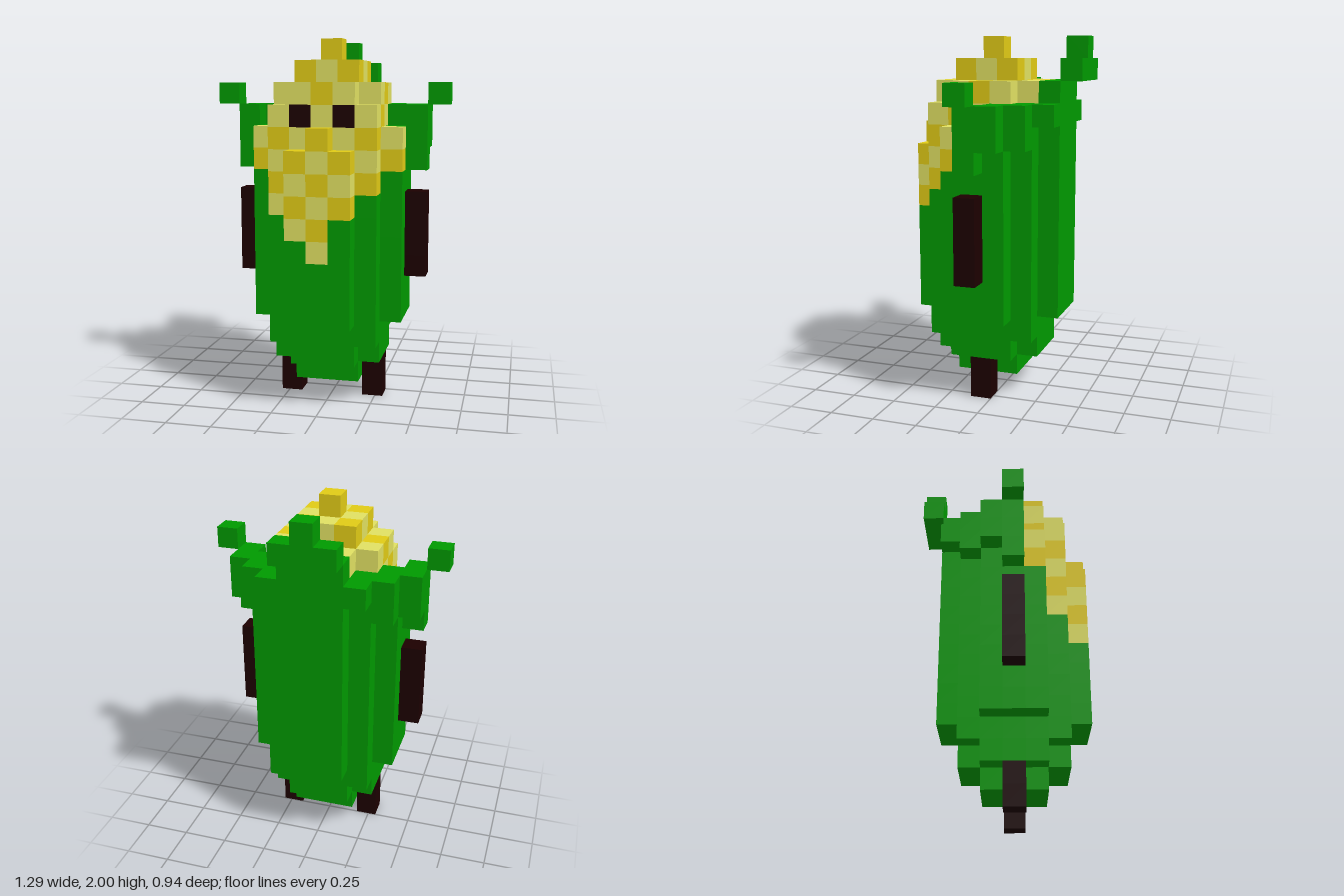
import * as THREE from 'three';

const U = 2 / 17; // edge of one cube

const mat = (name, color) => {
  const m = new THREE.MeshStandardMaterial({ color });
  m.name = name;
  return m;
};

// Cube grid: cell "x,y,z" -> part name
function createGrid() {
  const cells = new Map();
  const set = (part, x, y, z) => cells.set(`${x},${y},${z}`, part);
  const fill = (part, [x0, x1], [y0, y1], [z0, z1]) => {
    for (let x = x0; x <= x1; x++)
      for (let y = y0; y <= y1; y++)
        for (let z = z0; z <= z1; z++) set(part, x, y, z);
  };
  // Same block on the left and the right side
  const pair = (part, [x0, x1], ys, zs) => {
    fill(part, [x0, x1], ys, zs);
    fill(part, [-x1, -x0], ys, zs);
  };
  const kernel = (dark, x, y, z) => set(dark ? 'darkKernels' : 'lightKernels', x, y, z);
  const even = (n) => n % 2 === 0;

  // Husk body, widening from the bottom
  fill('husk', [-1, 1], [1, 13], [-1, 1]);
  fill('husk', [-1, 1], [2, 13], [-2, 2]);
  pair('husk', [2, 2], [2, 11], [-1, 1]);
  pair('husk', [2, 2], [3, 11], [-2, 2]);
  pair('husk', [3, 3], [4, 11], [-1, 1]);
  fill('husk', [-1, 1], [4, 11], [-3, 3]);

  // Husk rim and curled leaf tips
  pair('husk', [2, 2], [12, 13], [-2, -2]);
  pair('husk', [3, 3], [12, 12], [0, 0]);
  pair('husk', [3, 3], [12, 13], [-2, -1]);
  pair('husk', [2, 2], [13, 13], [-3, -3]);
  pair('husk', [4, 4], [12, 13], [-1, -1]);
  pair('husk', [4, 4], [11, 13], [0, 0]);
  pair('husk', [5, 5], [14, 14], [0, 0]);
  fill('husk', [-1, 1], [12, 14], [-3, -3]);
  fill('husk', [-1, 1], [15, 15], [-4, -4]);
  fill('husk', [0, 0], [16, 16], [-4, -4]);

  // Stepped top of the cob, checkered seen from above
  kernel(true, 0, 16, 0);
  for (let x = -2; x <= 2; x++)
    for (let z = -2; z <= 2; z++) {
      if (Math.abs(x) < 2 && Math.abs(z) < 2) kernel(even(x + z), x, 15, z);
      if (Math.abs(x) + Math.abs(z) < 4) kernel(even(x + z), x, 14, z);
    }

  // Face of the cob, checkered seen from the front
  const rows = [[7, 0, 0], [8, -1, 0], [9, -2, 1], [10, -2, 2], [11, -3, 3], [12, -3, 3], [13, -2, 2]];
  for (const [y, x0, x1] of rows)
    for (let x = x0; x <= x1; x++) {
      const ax = Math.abs(x);
      const front = y > 11 ? (ax === 3 ? 1 : 2) : [3, 3, 2, 1][ax];
      kernel(even(x + y), x, y, front);
    }
  kernel(true, 0, 12, 3); // nose

  // Sides of the cob inside the rim, checkered seen from the side
  for (const x of [-2, 2])
    for (const y of [12, 13])
      for (let z = -1; z <= 1; z++) kernel(even(y + z), x, y, z);

  pair('eyes', [1, 1], [13, 13], [2, 2]);
  pair('arms', [4, 4], [6, 9], [0, 0]);
  pair('legs', [2, 2], [0, 1], [0, 0]);
  return cells;
}

// Outer faces of all cubes that belong to one part
function partGeometry(cells, part) {
  const pos = [], nor = [], idx = [];
  for (const [key, p] of cells) {
    if (p !== part) continue;
    const c = key.split(',').map(Number);
    for (let axis = 0; axis < 3; axis++)
      for (const s of [-1, 1]) {
        const next = [...c];
        next[axis] += s;
        if (cells.has(next.join(','))) continue;
        const a = (axis + 1) % 3, b = (axis + 2) % 3;
        const start = pos.length / 3;
        for (const [da, db] of [[0, 0], [1, 0], [1, 1], [0, 1]]) {
          const v = [...c];
          if (s > 0) v[axis] += 1;
          v[a] += da;
          v[b] += db;
          pos.push((v[0] - 0.5) * U, v[1] * U, v[2] * U);
          const n = [0, 0, 0];
          n[axis] = s;
          nor.push(...n);
        }
        const order = s > 0 ? [0, 1, 2, 0, 2, 3] : [0, 2, 1, 0, 3, 2];
        idx.push(...order.map((i) => start + i));
      }
  }
  const g = new THREE.BufferGeometry();
  g.setAttribute('position', new THREE.Float32BufferAttribute(pos, 3));
  g.setAttribute('normal', new THREE.Float32BufferAttribute(nor, 3));
  g.setIndex(idx);
  return g;
}

export function createModel() {
  const green = mat('husk green', 0x009900);
  const gold = mat('dark corn yellow', 0xe0ca16);
  const pale = mat('light corn yellow', 0xe0e062);
  const brown = mat('dark brown', 0x1c0000);
  const parts = { husk: green, darkKernels: gold, lightKernels: pale, eyes: brown, arms: brown, legs: brown };

  const model = new THREE.Group();
  model.name = 'cornFigure';
  const cells = createGrid();
  for (const [name, material] of Object.entries(parts)) {
    const mesh = new THREE.Mesh(partGeometry(cells, name), material);
    mesh.name = name;
    model.add(mesh);
  }
  return model;
}
